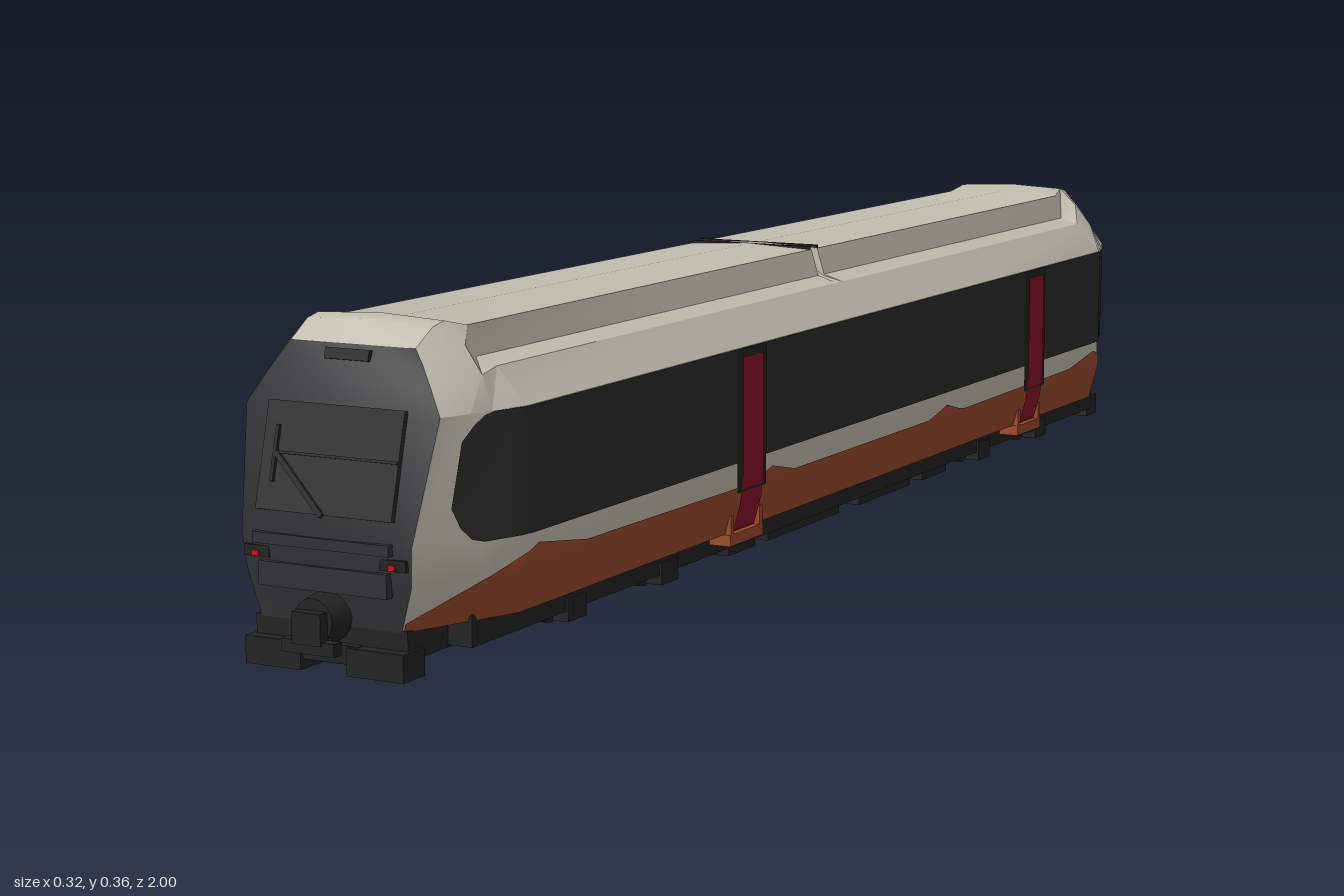
import * as THREE from 'three';
import { toCreasedNormals } from 'three/addons/utils/BufferGeometryUtils.js';

const material = (name, color) => Object.assign(new THREE.MeshStandardMaterial({ color }), { name });
const lerp = THREE.MathUtils.lerp;
const clamp = THREE.MathUtils.clamp;

// Half cross-sections [x, y] from bottom centre to roof centre
const MAIN = [[0, .05], [.143, .05], [.157, .10], [.157, .14], [.157, .272], [.122, .312], [.096, .32], [.086, .353], [0, .357]];
const END = [[0, .05], [.088, .05], [.103, .10], [.106, .14], [.121, .272], [.104, .30], [.09, .322], [.078, .338], [0, .338]];
const NOTCH = [...MAIN.slice(0, 6), [.096, .318], [.086, .324], [0, .326]];
const SHOULDER = 0.82; // where the cab taper begins
const NOSE = [[.05, .955], [.10, .958], [.14, .962], [.272, .928], [.341, .905]]; // y -> z of the cab face

function table(points, v) {
  if (v <= points[0][0]) return points[0][1];
  for (let i = 1; i < points.length; i++) {
    const [a, fa] = points[i - 1], [b, fb] = points[i];
    if (v <= b) return lerp(fa, fb, (v - a) / (b - a));
  }
  return points[points.length - 1][1];
}
const taper = s => clamp((Math.abs(s) - SHOULDER) / (1 - SHOULDER), 0, 1);
const zAt = (s, y) => taper(s) ? Math.sign(s) * lerp(SHOULDER, table(NOSE, y), taper(s)) : s;
const flank = section => section.slice(1, 5).map(([x, y]) => [y, x]);
const sideX = (s, y) => lerp(table(flank(MAIN), y), table(flank(END), y), taper(s));

// Surface through rows of points; front side is (along row) x (across rows)
function surface(rows, crease = 0.45) {
  const n = rows[0].length, index = [];
  for (let i = 0; i < rows.length - 1; i++) {
    for (let j = 0; j < n - 1; j++) {
      const a = i * n + j, b = a + 1, c = a + n, d = c + 1;
      index.push(a, b, c, b, d, c);
    }
  }
  const g = new THREE.BufferGeometry();
  g.setAttribute('position', new THREE.Float32BufferAttribute(rows.flat(2), 3));
  g.setIndex(index);
  return toCreasedNormals(g, crease);
}

export function createModel() {
  const cream = material('cream paint', 0xc2bdb0);
  const glass = material('dark glass', 0x2b2b2b);
  const cabBlack = material('cab black', 0x303133);
  const under = material('underframe black', 0x232323);
  const orange = material('burnt orange', 0x9c4a2b);
  const crimson = material('crimson', 0x8a0f2a);
  const red = material('lamp red', 0xc01818);

  const model = new THREE.Group();
  model.name = 'railcar';
  const add = (parent, name, geometry, mat, x = 0, y = 0, z = 0) => {
    const mesh = new THREE.Mesh(geometry, mat);
    mesh.name = name;
    mesh.position.set(x, y, z);
    parent.add(mesh);
    return mesh;
  };
  const box = (parent, name, mat, w, h, d, x, y, z) =>
    add(parent, name, new THREE.BoxGeometry(w, h, d), mat, x, y, z);

  // Body shell: rings lofted along the length, with roof hoods over the cabs
  const hood = (t, roof) => [...MAIN.slice(0, 5).map(([x, y], i) => [lerp(x, END[i][0], t), y]), ...roof];
  const half = [
    [.008, NOTCH], [.0081, MAIN], [.4, MAIN], [SHOULDER, MAIN],
    [SHOULDER + .18 * .4, hood(.4, [[.128, .308], [.105, .337], [.08, .361], [0, .365]])],
    [SHOULDER + .18 * .65, hood(.65, [[.118, .306], [.1, .333], [.079, .357], [0, .361]])],
    [1, END],
  ];
  const rings = [...half.map(([s, p]) => [-s, p]).reverse(), ...half];
  add(model, 'bodyShell', surface(rings.map(([s, p]) => [
    ...p.map(([x, y]) => [x, y, zAt(s, y)]),
    ...p.slice(0, -1).reverse().map(([x, y]) => [-x, y, zAt(s, y)]),
  ])), cream);
  for (const z of [-.011, .011]) box(model, 'roofJointSeal', under, .17, .03, .004, 0, .342, z);

  // Thin plates that follow the side of the body
  const panel = (name, side, stations, lo, hi, mat, off) => {
    const rows = stations.map(s => {
      const row = [];
      for (let k = 0; k <= 6; k++) {
        const y = lerp(lo(s), hi(s), k / 6);
        row.push([side * (sideX(s, y) + off), y, zAt(s, y)]);
      }
      return side > 0 ? row : row.reverse();
    });
    add(model, name, surface(rows), mat);
  };
  const span = (a, b, n) => Array.from({ length: n + 1 }, (_, i) => lerp(a, b, i / n));
  const corner = s => clamp((Math.abs(s) - .89) / .06, 0, 1) ** 2;
  const wave = [[0, .106], [.2, .106], [.26, .119], [.31, .106], [.7, .109], [.8, .124], [.85, .108], [1, .06]];

  for (const side of [1, -1]) {
    panel('windowBand', side, span(-.95, .95, 95), s => .136 + .04 * corner(s), s => .272 - .028 * corner(s), glass, .002);
    panel('orangeStripe', side, span(-1, 1, 100), () => .05, s => table(wave, Math.abs(s)), orange, .002);
    for (const z of [.315, -.565]) {
      panel('doorFrame', side, [z - .037, z + .037], () => .10, () => .272, under, .003);
      panel('door', side, [z - .027, z + .027], () => .052, () => .262, crimson, .005);
      box(model, 'doorStep', orange, .03, .014, .085, side * .138, .043, z);
      for (const e of [-.037, .037]) box(model, 'stepBracket', orange, .012, .03, .008, side * .147, .058, z + e);
    }
  }
  panel('serviceDoor', -1, [-.19, -.14], () => .137, () => .262, crimson, .005);

  // Underframe, equipment boxes and bogies
  box(model, 'underframe', under, .25, .035, 1.76, 0, .04, 0);
  for (const [z, len] of [[.1, .2], [-.14, .16], [.27, .07], [-.3, .08]]) {
    for (const x of [-.085, .085]) box(model, 'equipmentBox', under, .075, .03, len, x, .027, z);
  }
  for (const z of [-.565, .565]) {
    const bogie = new THREE.Group();
    bogie.name = 'bogie';
    bogie.position.z = z;
    model.add(bogie);
    box(bogie, 'bogieBolster', under, .2, .022, .06, 0, .028, 0);
    for (const x of [-.112, .112]) box(bogie, 'bogieFrame', under, .022, .02, .32, x, .032, 0);
    for (const a of [-.105, .105]) {
      const axle = add(bogie, 'axle', new THREE.CylinderGeometry(.007, .007, .2, 10), under, 0, .031, a);
      axle.rotation.z = Math.PI / 2;
      for (const x of [-.085, .085]) {
        const wheel = add(bogie, 'wheel', new THREE.CylinderGeometry(.028, .028, .018, 20), under, x, .031, a);
        wheel.rotation.z = Math.PI / 2;
        box(bogie, 'axleBox', under, .02, .026, .04, Math.sign(x) * .118, .024, a);
      }
    }
  }

  // Cab ends: dark face, lamps, wiper, coupler and plough
  for (const turn of [0, Math.PI]) {
    const cab = new THREE.Group();
    cab.name = turn ? 'rearCab' : 'frontCab';
    cab.rotation.y = turn;
    model.add(cab);
    const bulge = [0, .006, .01, .01, .008, .005, 0];
    add(cab, 'cabFace', surface(END.slice(1, 8).map(([w, y], i) =>
      span(-1, 1, 10).map(u => [u * w, y, table(NOSE, y) + bulge[i] * (1 - u * u)])), .6), cabBlack);

    // Sloped plate flush with the windscreen
    const tilt = -Math.atan2(.034, .132);
    const screenZ = y => table(NOSE, y) + .0085;
    const plate = (name, mat, w, h, x, y, angle = 0, lift = 0) => {
      const m = box(cab, name, mat, w, h, .006, x, y, screenZ(y) + lift);
      m.rotation.set(tilt, 0, angle);
    };
    plate('windscreen', glass, .17, .115, 0, .222);
    plate('wiperArm', under, .09, .006, -.033, .196, -.75, .004);
    plate('wiperPost', under, .004, .06, -.067, .225, 0, .004);
    plate('screenBar', under, .15, .003, .01, .226, 0, .003);
    plate('routeDisplay', under, .055, .012, 0, .328, 0, -.003);

    box(cab, 'noseLip', cabBlack, .17, .012, .02, 0, .138, .963);
    box(cab, 'bumperBeam', cabBlack, .16, .026, .024, 0, .1, .958);
    for (const x of [-.085, .085]) {
      box(cab, 'lampHousing', under, .032, .012, .012, x, .122, .96);
      box(cab, 'tailLamp', red, .008, .006, .004, x, .12, .967);
      box(cab, 'plough', under, .07, .03, .04, Math.sign(x) * .064, .016, .95);
    }
    box(cab, 'pilotBeam', under, .19, .032, .11, 0, .036, .9);
    box(cab, 'ploughTie', under, .08, .02, .03, 0, .022, .95);
    const coupler = add(cab, 'coupler', new THREE.CylinderGeometry(.024, .028, .03, 16), under, 0, .06, .972);
    coupler.rotation.x = Math.PI / 2;
    box(cab, 'couplerHead', under, .036, .034, .022, 0, .054, .989);
    box(cab, 'couplerBar', under, .066, .014, .014, 0, .034, .991);
  }
  return model;
}
